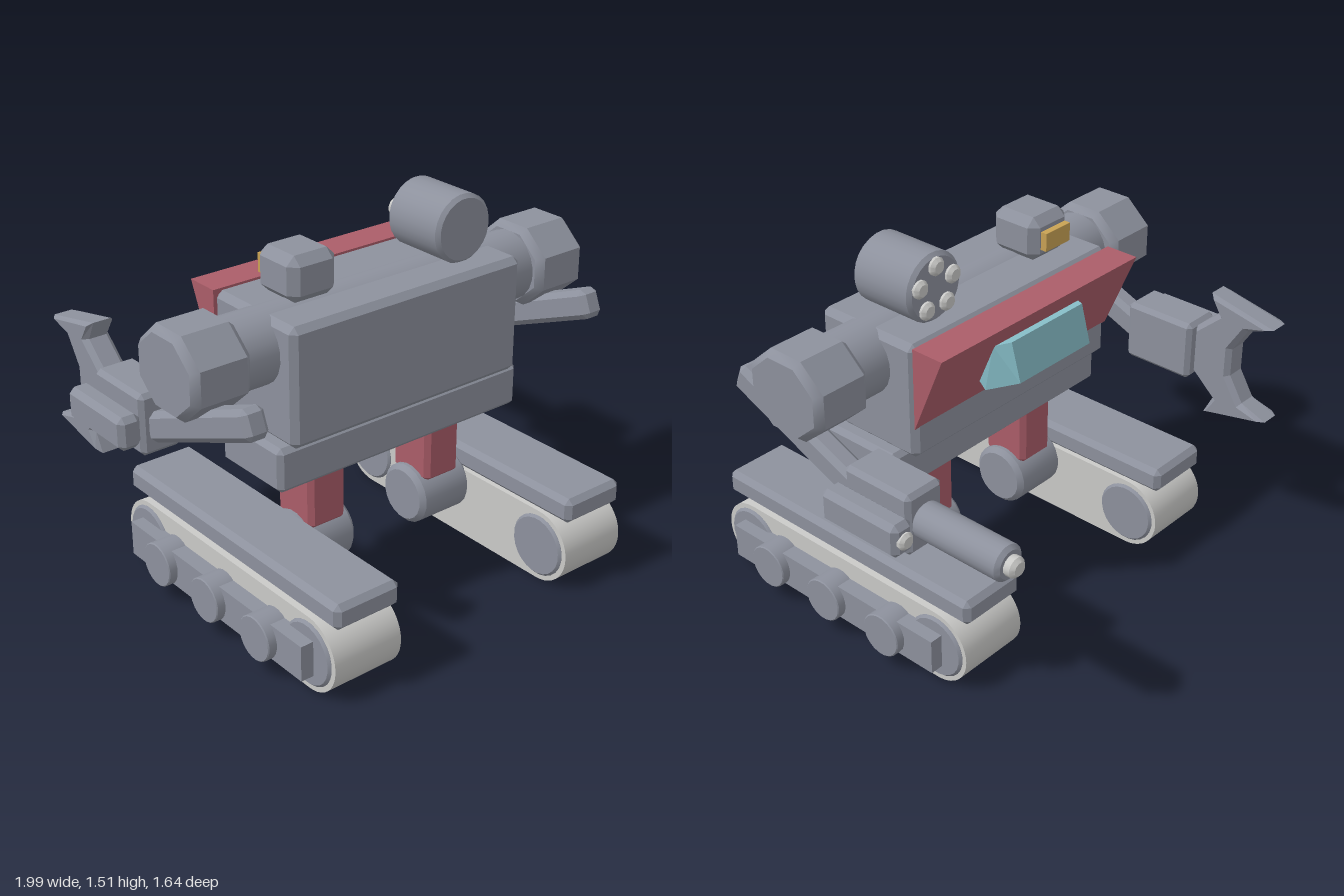
import * as THREE from 'three';
import { toCreasedNormals } from 'three/addons/utils/BufferGeometryUtils.js';
import { ConvexGeometry } from 'three/addons/geometries/ConvexGeometry.js';

function paint(name, color) {
  const m = new THREE.MeshStandardMaterial({ color });
  m.name = name;
  return m;
}

export function createModel() {
  const root = new THREE.Group();
  root.name = 'trackedRobot';
  const grey = paint('steelGrey', 0x8d919d);
  const light = paint('paleMetal', 0xcacac8);
  const red = paint('dullRed', 0xab5d69);
  const cyan = paint('glassCyan', 0x86bdc7);
  const gold = paint('gold', 0xc9a254);

  const add = (name, geo, mat, x = 0, y = 0, z = 0) => {
    const mesh = new THREE.Mesh(geo, mat);
    mesh.name = name;
    mesh.position.set(x, y, z);
    root.add(mesh);
    return mesh;
  };

  // Box with chamfered edges, given by its full size
  const chamferBox = (w, h, d, b) => {
    const pts = [];
    for (const i of [-1, 1]) for (const j of [-1, 1]) for (const k of [-1, 1]) {
      const x = w / 2, y = h / 2, z = d / 2;
      pts.push(new THREE.Vector3(i * x, j * (y - b), k * (z - b)));
      pts.push(new THREE.Vector3(i * (x - b), j * y, k * (z - b)));
      pts.push(new THREE.Vector3(i * (x - b), j * (y - b), k * z));
    }
    return new ConvexGeometry(pts);
  };

  // Cylinder with bevelled rims along the x or z axis
  const drum = (axis, r, len, b, sides = 20) => {
    const h = len / 2;
    const profile = [[0, -h], [r - b, -h], [r, b - h], [r, h - b], [r - b, h], [0, h]];
    const g = new THREE.LatheGeometry(profile.map(p => new THREE.Vector2(...p)), sides);
    g.rotateY(Math.PI / sides);
    if (axis === 'x') g.rotateZ(-Math.PI / 2);
    else g.rotateX(Math.PI / 2);
    return toCreasedNormals(g, 0.6);
  };

  // Side profile (first coordinate is -z, second is y) extruded across x
  const sideExtrude = (shape, width, bevel = 0) => {
    const g = new THREE.ExtrudeGeometry(shape, {
      depth: width - 2 * bevel, bevelEnabled: bevel > 0, bevelThickness: bevel,
      bevelSize: bevel, bevelOffset: -bevel, bevelSegments: 1, curveSegments: 10,
    });
    g.translate(0, 0, bevel - width / 2);
    g.rotateY(Math.PI / 2);
    return g;
  };
  const polygon = pts => new THREE.Shape(pts.map(p => new THREE.Vector2(...p)));

  // Torso, hips and shoulder axle
  add('torso', chamferBox(1.1, 0.475, 0.475, 0.025), grey, 0, 1.005, 0.143);
  add('hips', chamferBox(1.18, 0.18, 0.36, 0.02), grey, 0, 0.68, 0.165);
  add('shoulderAxle', drum('x', 0.143, 1.44, 0.01), grey, 0, 1.11, 0.165);

  // Slanted chest wedge
  add('chestWedge', sideExtrude(polygon([[0.093, 0.905], [0.235, 1.24], [0.093, 1.24]]), 1.1), red);

  // Window block, narrower on its outer face
  const windowPoints = [];
  for (const s of [-1, 1]) {
    for (const [x, y, z] of [[0.24, 1.16, -0.195], [0.2, 1.18, -0.25],
      [0.2, 1.025, -0.293], [0.24, 0.96, -0.157], [0.24, 0.99, -0.125]]) {
      windowPoints.push(new THREE.Vector3(s * x, y, z));
    }
  }
  add('chestWindow', new ConvexGeometry(windowPoints), cyan);

  // Sensor head with gold eye plate
  add('sensorHead', chamferBox(0.215, 0.18, 0.225, 0.035), grey, -0.328, 1.335, 0.12);
  add('sensorEye', new THREE.BoxGeometry(0.14, 0.075, 0.03), gold, -0.33, 1.335, -0.005);

  // Rocket launcher with a ring of five tips
  add('launcherDrum', drum('z', 0.137, 0.29, 0.015, 24), grey, 0.34, 1.372, 0.135);
  for (let i = 0; i < 5; i++) {
    const a = Math.PI / 2 + i * Math.PI * 0.4;
    add('rocketTip', drum('z', 0.036, 0.05, 0.013, 12), light,
      0.34 + 0.088 * Math.cos(a), 1.372 + 0.088 * Math.sin(a), -0.008);
  }

  // Shared profile of the track belt
  const belt = new THREE.Shape();
  belt.absarc(0.343, 0.15, 0.15, -Math.PI / 2, Math.PI / 2);
  belt.absarc(-0.67, 0.15, 0.15, Math.PI / 2, Math.PI * 1.5);

  for (const s of [-1, 1]) {
    // Leg and ankle
    add('leg', chamferBox(0.175, 0.3, 0.21, 0.02), red, s * 0.293, 0.465, 0.145);
    add('ankle', drum('x', 0.126, 0.26, 0.02), grey, s * 0.3, 0.235, 0.145);

    // Track unit
    add('trackBelt', toCreasedNormals(sideExtrude(belt, 0.3), 0.5), light, s * 0.57, 0, 0);
    add('trackCover', chamferBox(0.29, 0.105, 1.31, 0.022), grey, s * 0.566, 0.352, 0.163);
    for (const z of [0.67, -0.345]) {
      add('endWheel', drum('x', 0.13, 0.322, 0.01, 24), grey, s * 0.57, 0.15, z);
    }
    add('wheelRail', new THREE.BoxGeometry(0.08, 0.145, 1.09), grey, s * 0.745, 0.15, 0.165);
    for (const z of [0.48, 0.165, -0.15]) {
      add('roadWheel', drum('x', 0.09, 0.12, 0.004), grey, s * 0.762, 0.15, z);
    }

    // Octagonal shoulder and sloping arm
    const shoulder = add('shoulder', drum('x', 0.19, 0.25, 0.028, 8), grey, s * 0.813, 1.113, 0.162);
    shoulder.scale.set(1, 0.925, 1.04);
    const arm = add('arm', chamferBox(0.1, 0.118, 0.68, 0.022), grey, s * 0.81, 0.9, 0.207);
    arm.rotation.x = -0.39;

    // Hand block with small side gun
    add('hand', chamferBox(0.175, 0.25, 0.315, 0.018), grey, s * 0.806, 0.795, -0.237);
    add('sidePod', chamferBox(0.095, 0.135, 0.37, 0.022), grey, s * 0.947, 0.795, -0.245);
    add('sidePodTip', drum('z', 0.034, 0.05, 0.012, 12), light, s * 0.947, 0.795, -0.423);
  }

  // Cannon on the left hand
  add('cannonBarrel', drum('z', 0.07, 0.4, 0.015), grey, 0.81, 0.797, -0.585);
  add('cannonTip', drum('z', 0.04, 0.06, 0.014, 12), light, 0.81, 0.797, -0.795);

  // Two-pronged claw on the right hand
  const prong = [[0.385, 0.1], [0.49, 0.195], [0.45, 0.275], [0.745, 0.21], [0.63, 0.165], [0.565, 0.06]];
  const outline = [...prong, ...prong.map(([u, v]) => [u, -v]).reverse()].reverse();
  add('claw', sideExtrude(polygon(outline), 0.115, 0.02), grey, -0.812, 0.797, 0);

  return root;
}
